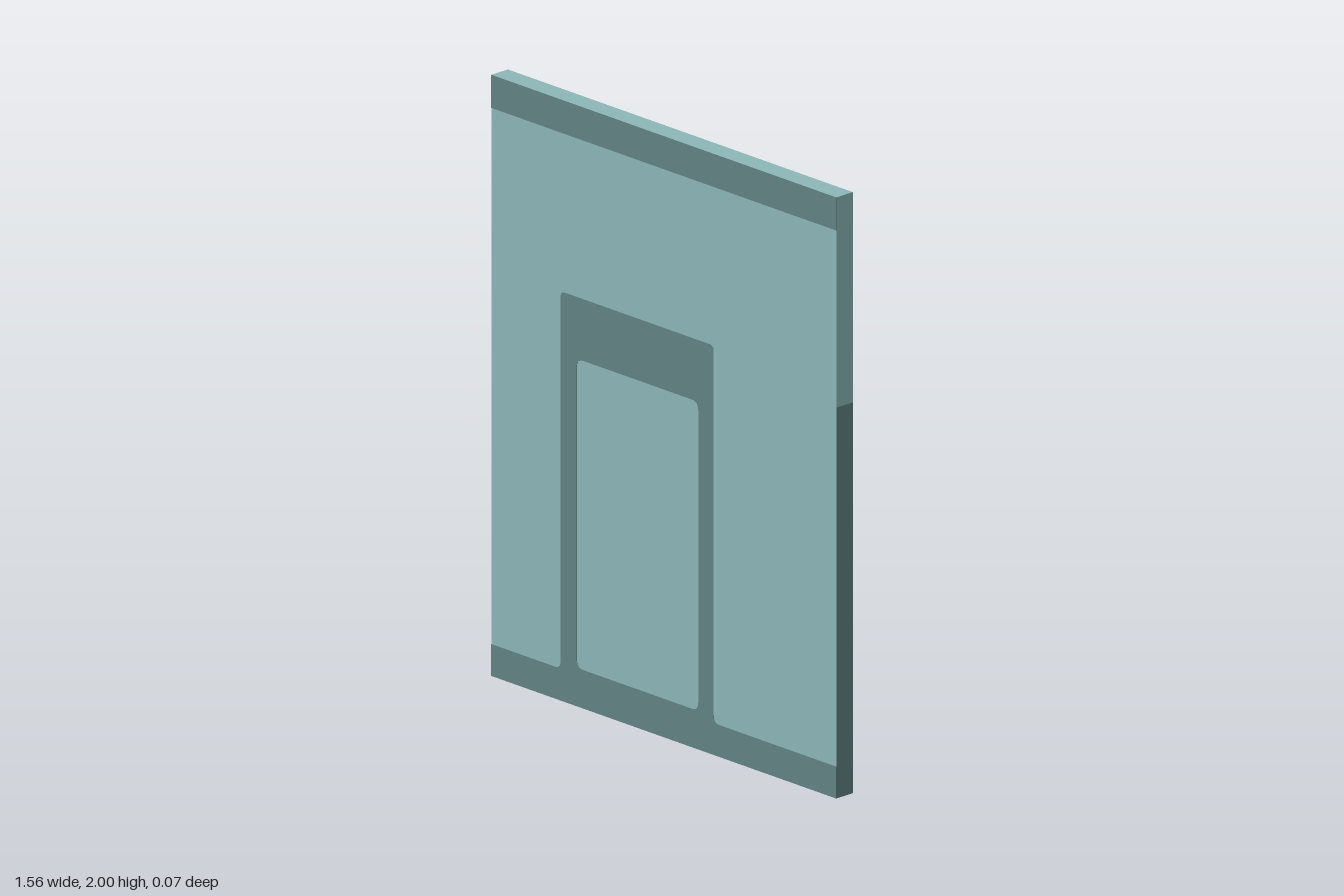
import * as THREE from 'three';

const HALF_W = 0.782, HEIGHT = 2, HALF_D = 0.036, SKIN = 0.001;

// Closed outline from [x, y, cornerRadius] points, rounding each corner
function roundedOutline(points, target) {
  const n = points.length;
  points.forEach(([x, y, r], i) => {
    const corner = new THREE.Vector2(x, y);
    const toward = ([px, py]) => new THREE.Vector2(px, py).sub(corner).setLength(r).add(corner);
    const a = toward(points[(i + n - 1) % n]), b = toward(points[(i + 1) % n]);
    if (i === 0) target.moveTo(a.x, a.y); else target.lineTo(a.x, a.y);
    if (r > 0) target.quadraticCurveTo(x, y, b.x, b.y);
  });
  target.closePath();
  return target;
}

export function createModel() {
  const group = new THREE.Group();
  const pale = new THREE.MeshStandardMaterial({ name: 'pale teal', color: 0x8cb7b8 });
  const dark = new THREE.MeshStandardMaterial({ name: 'dark teal', color: 0x618382 });

  // Wall slab: side edges change colour at y = 1.3, underside is dark
  const slab = new THREE.BoxGeometry(HALF_W * 2, HEIGHT, HALF_D * 2 - SKIN, 1, 2, 1);
  slab.translate(0, HEIGHT / 2, -SKIN / 2);
  const pos = slab.attributes.position;
  for (let i = 0; i < pos.count; i++) {
    if (Math.abs(pos.getY(i) - 1) < 0.01) pos.setY(i, 1.3);
  }
  slab.clearGroups();
  [[0, 6, 0], [6, 6, 1], [12, 6, 0], [18, 6, 1], [24, 6, 0], [30, 6, 1], [36, 24, 0]]
    .forEach(([start, count, material]) => slab.addGroup(start, count, material));
  const wall = new THREE.Mesh(slab, [pale, dark]);
  wall.name = 'wallSlab';
  group.add(wall);

  // Painted plates on the front
  const addPlate = (name, shape) => {
    const geometry = new THREE.ExtrudeGeometry(shape, { depth: SKIN, bevelEnabled: false, curveSegments: 6 });
    const mesh = new THREE.Mesh(geometry, dark);
    mesh.position.z = HALF_D - SKIN;
    mesh.name = name;
    group.add(mesh);
  };

  // Band along the top
  addPlate('topBand', roundedOutline([
    [-HALF_W, 1.89, 0], [HALF_W, 1.89, 0], [HALF_W, HEIGHT, 0], [-HALF_W, HEIGHT, 0],
  ], new THREE.Shape()));

  // Skirting and door surround in one outline, with the door opening cut out
  const base = 0.106, left = -0.468, right = 0.226, top = 1.362;
  const surround = roundedOutline([
    [-HALF_W, 0, 0], [HALF_W, 0, 0], [HALF_W, base, 0], [right, base, 0.025],
    [right, top, 0.02], [left, top, 0.02], [left, base, 0.025], [-HALF_W, base, 0],
  ], new THREE.Shape());
  surround.holes.push(roundedOutline([
    [-0.395, 0.128, 0.03], [-0.395, 1.157, 0.03], [0.157, 1.157, 0.03], [0.157, 0.128, 0.03],
  ], new THREE.Path()));
  addPlate('skirtingAndDoorFrame', surround);

  return group;
}
